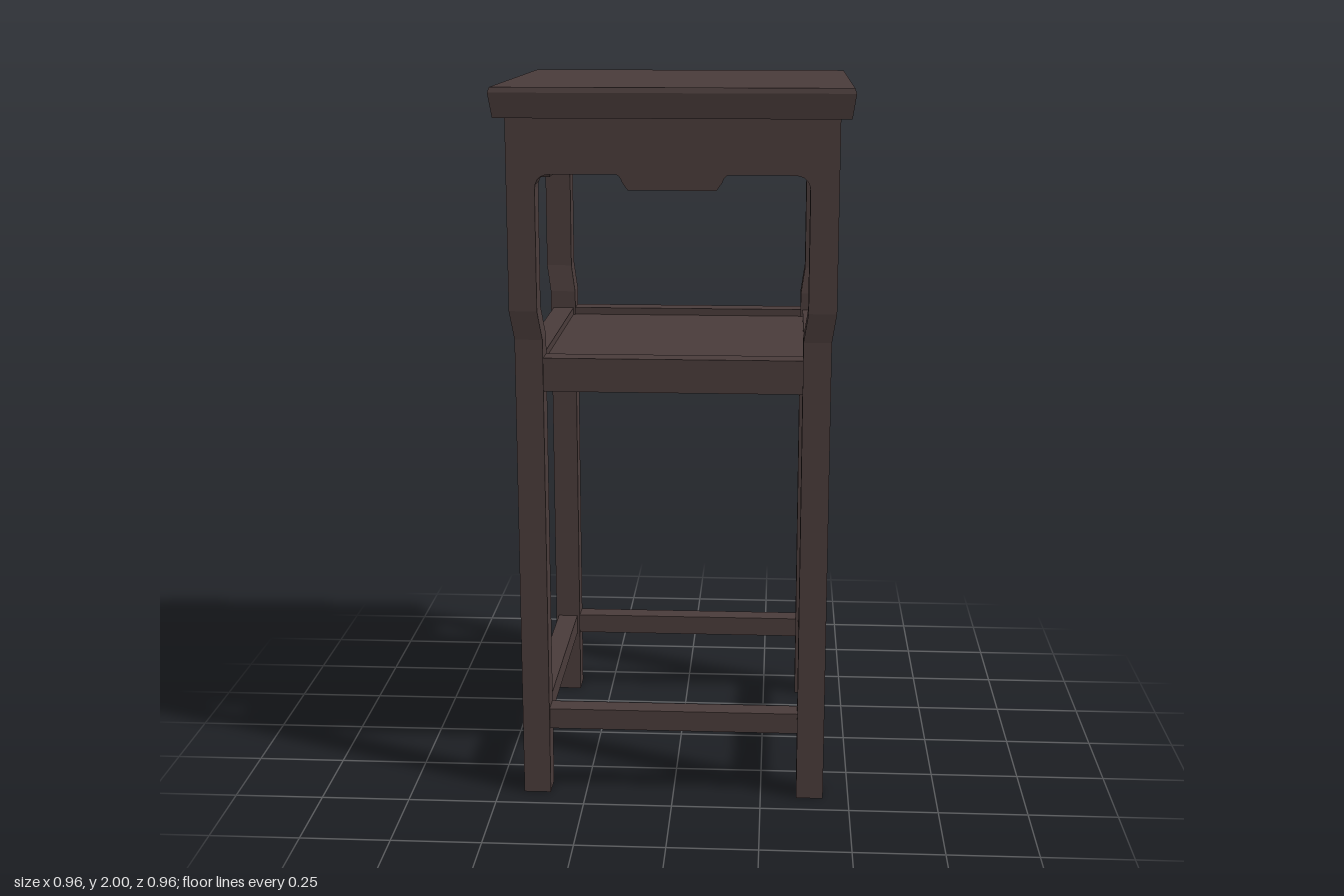
import * as THREE from 'three';

const OUT = 0.44;     // outer face of the upper legs and apron
const LEG = 0.076;    // leg thickness
const LOW = 0.39;     // leg centre below the bend
const HIGH = OUT - LEG / 2; // leg centre above the bend

function faceted(geometry) {
  const g = geometry.index ? geometry.toNonIndexed() : geometry;
  g.computeVertexNormals();
  return g;
}

// Square tapered slab with a small bevel on its upper edge
function topGeometry() {
  const profile = [[0, 1.92], [0.468, 1.92], [0.478, 1.986], [0.473, 2], [0, 2]]
    .map(([half, y]) => new THREE.Vector2(half * Math.SQRT2, y));
  return faceted(new THREE.LatheGeometry(profile, 4, Math.PI / 4));
}

// Post that steps diagonally outward at the bend
function legGeometry() {
  const levels = [[0, LOW], [1.325, LOW], [1.405, HIGH], [1.92, HIGH]];
  const g = new THREE.BoxGeometry(LEG, 3, LEG, 1, 3, 1);
  const p = g.attributes.position;
  for (let i = 0; i < p.count; i++) {
    const [y, centre] = levels[Math.round(p.getY(i) + 1.5)];
    p.setXYZ(i, p.getX(i) + centre, y, p.getZ(i) + centre);
  }
  return faceted(g);
}

// Apron with rounded corners and a stepped centre drop
function apronGeometry() {
  const w = OUT - LEG;
  const s = new THREE.Shape();
  s.moveTo(-w, 1.92);
  s.lineTo(-w, 1.73);
  s.quadraticCurveTo(-w, 1.772, -0.32, 1.772);
  s.lineTo(-0.148, 1.772);
  s.quadraticCurveTo(-0.138, 1.77, -0.132, 1.752);
  s.lineTo(-0.117, 1.731);
  s.lineTo(0.117, 1.731);
  s.lineTo(0.132, 1.752);
  s.quadraticCurveTo(0.138, 1.77, 0.148, 1.772);
  s.lineTo(0.32, 1.772);
  s.quadraticCurveTo(w, 1.772, w, 1.73);
  s.lineTo(w, 1.92);
  s.closePath();
  const g = new THREE.ExtrudeGeometry(s, { depth: LEG, bevelEnabled: false, curveSegments: 5 });
  return g.translate(0, 0, OUT - LEG);
}

// Horizontal rail between two lower legs
function railGeometry(bottom, top, depth) {
  const length = 2 * (LOW - LEG / 2);
  const outer = LOW + LEG / 2 - 0.008;
  return new THREE.BoxGeometry(length, top - bottom, depth)
    .translate(0, (top + bottom) / 2, outer - depth / 2);
}

export function createModel() {
  const model = new THREE.Group();
  model.name = 'plantStand';
  const darkWood = new THREE.MeshStandardMaterial({ color: 0x4a3c3b });
  darkWood.name = 'darkWood';

  const add = (name, geometry, turn = 0) => {
    const mesh = new THREE.Mesh(geometry, darkWood);
    mesh.name = name;
    mesh.rotation.y = turn;
    model.add(mesh);
  };

  add('tableTop', topGeometry());

  // Parts repeated on the four sides
  const sideParts = {
    leg: legGeometry(),
    apron: apronGeometry(),
    shelfRail: railGeometry(1.18, 1.273, 0.062),
    stretcher: railGeometry(0.194, 0.253, 0.06),
  };
  for (let i = 0; i < 4; i++) {
    for (const [name, geometry] of Object.entries(sideParts)) {
      add(name + (i + 1), geometry, i * Math.PI / 2);
    }
  }

  // Shelf panel sunk slightly inside its rails
  add('shelfPanel', new THREE.BoxGeometry(0.73, 0.06, 0.73).translate(0, 1.222, 0));

  return model;
}
